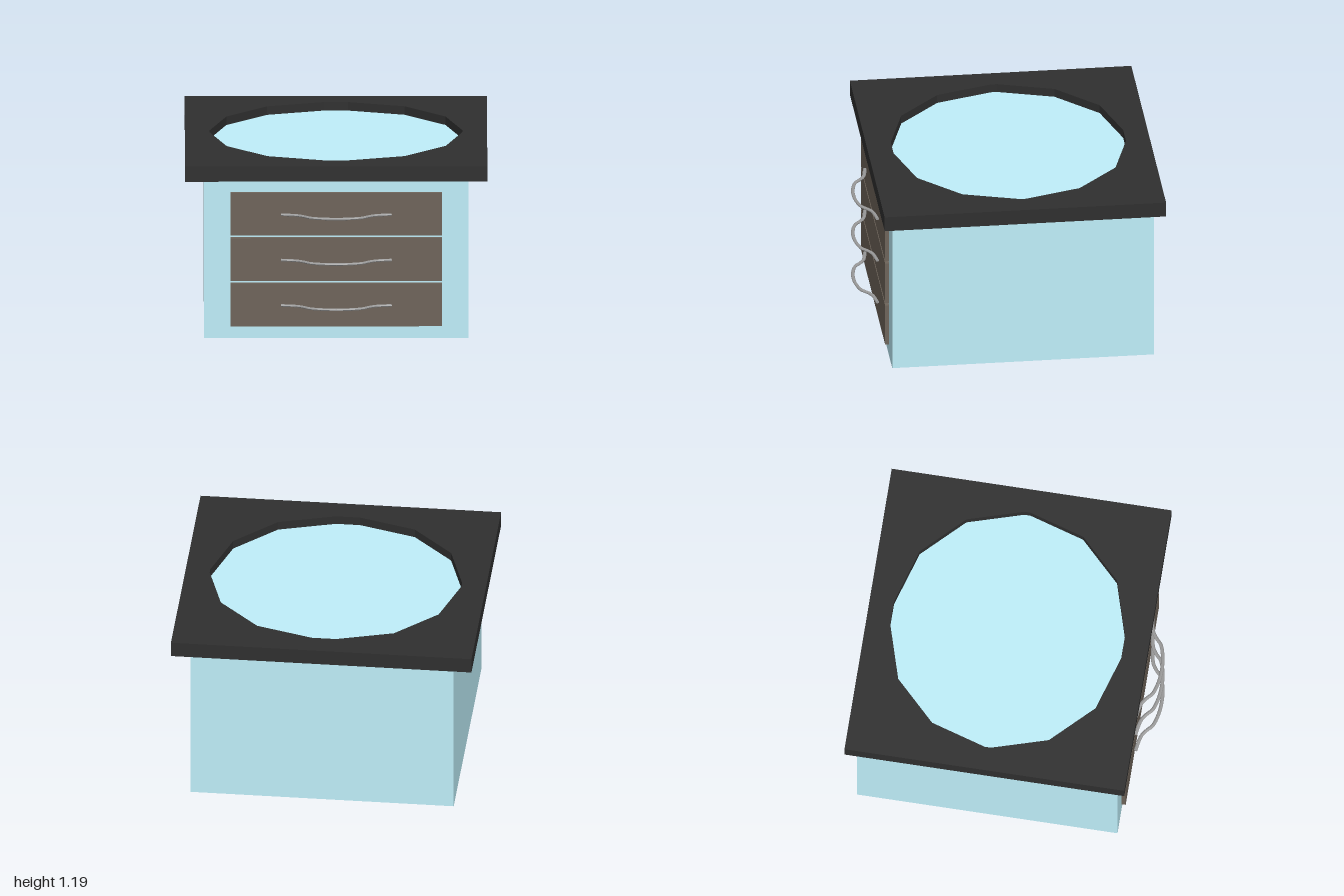
import * as THREE from 'three';

const material = (color) => new THREE.MeshStandardMaterial({ color, flatShading: true });

function addMesh(parent, name, geometry, mat) {
  const mesh = new THREE.Mesh(geometry, mat);
  mesh.name = name;
  parent.add(mesh);
  return mesh;
}

// Box given by its min and max corners
function boxBetween(x0, x1, y0, y1, z0, z1) {
  return new THREE.BoxGeometry(x1 - x0, y1 - y0, z1 - z0)
    .translate((x0 + x1) / 2, (y0 + y1) / 2, (z0 + z1) / 2);
}

// Square slab with a faceted round opening
function countertopGeometry() {
  const slab = new THREE.Shape([
    [-1, -0.885], [1, -0.885], [1, 0.99], [-1, 0.99],
  ].map(([x, y]) => new THREE.Vector2(x, y)));
  const centre = 0.055;
  const quarter = [[0.838, 0.02], [0.725, 0.391], [0.455, 0.661], [0.08, 0.774]];
  const back = [...quarter, ...quarter.map(([x, y]) => [-x, y]).reverse()];
  const ring = [...back, ...back.map(([x, y]) => [-x, -y])];
  slab.holes.push(new THREE.Path(ring.map(([x, y]) => new THREE.Vector2(x, y + centre))));
  return new THREE.ExtrudeGeometry(slab, { depth: 0.103, bevelEnabled: false })
    .rotateX(-Math.PI / 2)
    .translate(0, 1.085, 0);
}

// Bowed bar whose ends flare back to the drawer front
function handleGeometry() {
  const half = [[0.365, 0.859], [0.26, 0.88], [0.215, 0.908], [0.175, 0.944], [0.09, 0.97]];
  const points = [
    ...half.map(([x, z]) => [-x, z]), [0, 0.978], ...half.slice().reverse(),
  ].map(([x, z]) => new THREE.Vector3(x, 0, z));
  const section = new THREE.Shape();
  for (let i = 0; i < 8; i++) {
    const a = (i / 8) * Math.PI * 2;
    const p = [Math.cos(a) * 0.012, Math.sin(a) * 0.012];
    if (i) section.lineTo(...p);
    else section.moveTo(...p);
  }
  return new THREE.ExtrudeGeometry(section, {
    steps: 40, bevelEnabled: false, extrudePath: new THREE.CatmullRomCurve3(points),
  }).scale(1, 0.75, 1);
}

export function createModel() {
  const model = new THREE.Group();
  model.name = 'drawerCabinet';

  const wood = material(0x6e645a);
  const metal = material(0x999999);

  // The body rises part way into the opening of the countertop
  addMesh(model, 'cabinetBody', boxBetween(-0.875, 0.875, 0, 1.13, -0.925, 0.82), material(0xbfeffa));
  addMesh(model, 'countertop', countertopGeometry(), material(0x2f2f2f));

  // Three stacked drawers, each with a handle
  const handle = handleGeometry();
  for (let i = 0; i < 3; i++) {
    const drawer = new THREE.Group();
    drawer.name = `drawer${i + 1}`;
    drawer.position.y = 0.233 + i * 0.31;
    addMesh(drawer, 'drawerFront', boxBetween(-0.7, 0.7, -0.146, 0.146, 0.81, 0.847), wood);
    addMesh(drawer, 'drawerHandle', handle, metal);
    model.add(drawer);
  }
  return model;
}
